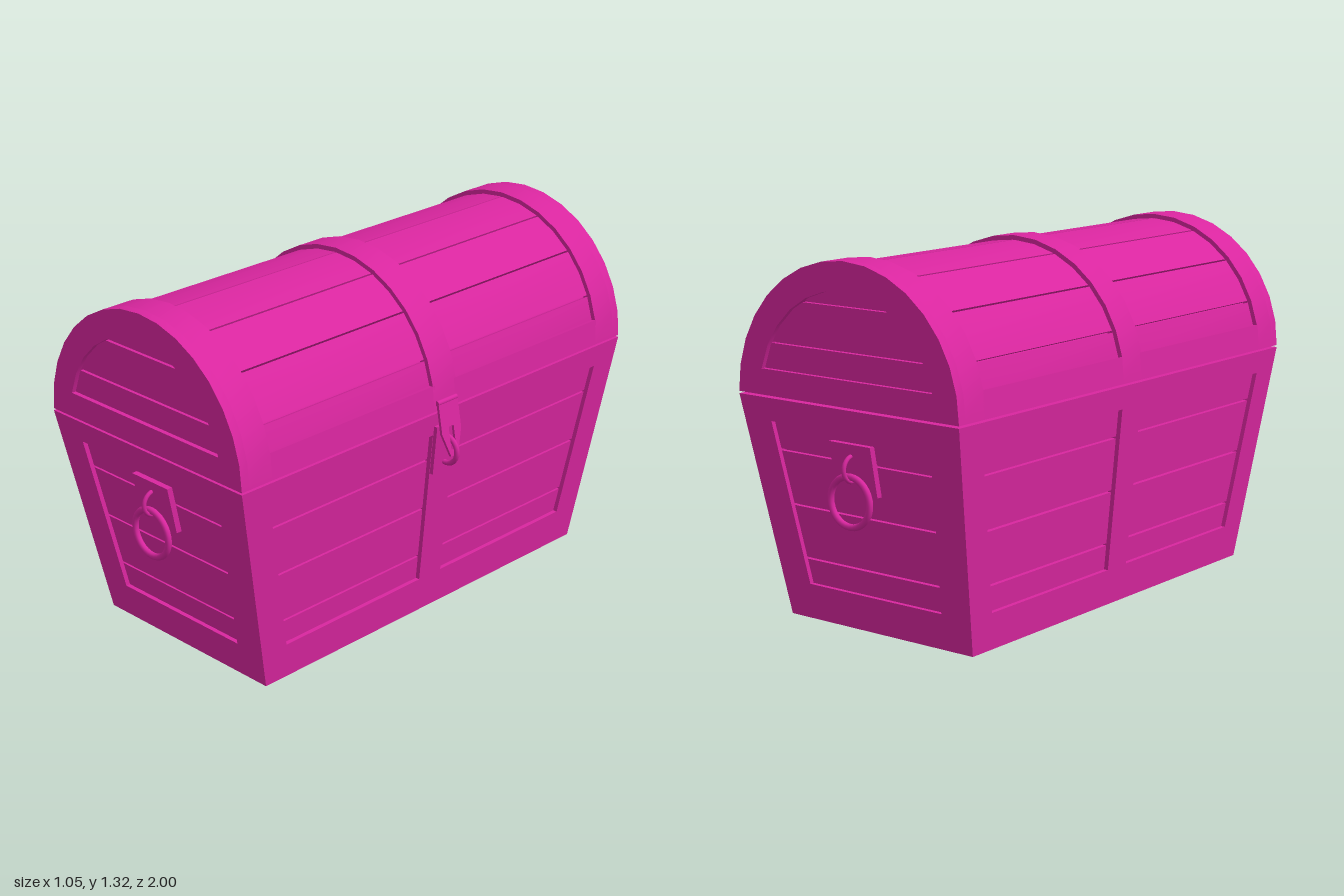
import * as THREE from 'three';
import { toCreasedNormals } from 'three/addons/utils/BufferGeometryUtils.js';

const material = new THREE.MeshStandardMaterial({ color: 0xd9269f });
const H = 0.82, LID_Y = 0.828, R = 0.493, T = 0.035, PLANK = 0.018, GAP = 0.004;
const halfX = y => 0.415 + 0.078 * y / H;
const halfZ = y => 0.82 + 0.162 * y / H;

function add(parent, name, geometry, x = 0, y = 0, z = 0) {
  const mesh = new THREE.Mesh(geometry, material);
  mesh.name = name;
  mesh.position.set(x, y, z);
  parent.add(mesh);
  return mesh;
}

const polygon = pts => new THREE.Shape(pts.map(p => new THREE.Vector2(...p)));

const extrude = (shape, depth, z = 0) =>
  new THREE.ExtrudeGeometry(shape, { depth, bevelEnabled: false, curveSegments: 12 }).translate(0, 0, z);

// Extrude a flat shape and lean it onto a sloping wall.
function leaned(shape, depth, dist, offset) {
  const g = extrude(shape, depth), p = g.attributes.position;
  for (let i = 0; i < p.count; i++) p.setZ(i, p.getZ(i) + dist(p.getY(i)) + offset);
  g.computeVertexNormals();
  return g;
}

// Trapezoid between two heights, following a width rule on each edge.
const trapezoid = (left, right, y0, y1) =>
  polygon([[left(y0), y0], [right(y0), y0], [right(y1), y1], [left(y1), y1]]);

// One framed wall facing +z; split adds a centre strap.
function wall(name, half, dist, inset, split) {
  const group = new THREE.Group();
  group.name = name;
  const frame = trapezoid(y => -half(y), half, 0, H);
  const inner = y => half(y) - inset;
  if (split) {
    frame.holes.push(trapezoid(y => -inner(y), () => -split, 0.135, 0.735));
    frame.holes.push(trapezoid(() => split, inner, 0.135, 0.735));
  } else {
    frame.holes.push(trapezoid(y => -inner(y), inner, 0.135, 0.735));
  }
  add(group, 'wallFrame', leaned(frame, T, dist, -T));
  const seams = [0.1, 0.23, 0.43, 0.63, 0.77];
  for (let i = 0; i < 4; i++) {
    const w = y => inner(y) + 0.03;
    const plank = trapezoid(y => -w(y), w, seams[i] + GAP, seams[i + 1] - GAP);
    add(group, 'wallPlank', leaned(plank, PLANK, dist, -T));
  }
  return group;
}

// Plate, staple and hanging ring for an end wall.
function addHandle(end) {
  const plate = polygon([[-0.093, 0.52], [0.093, 0.52], [0.093, 0.7], [-0.093, 0.7]]);
  add(end, 'handlePlate', leaned(plate, 0.028, halfZ, -T + 0.012));
  const staple = add(end, 'handleStaple', new THREE.TorusGeometry(0.045, 0.008, 8, 24), 0, 0.613, 0.947);
  staple.rotation.y = Math.PI / 2;
  add(end, 'handleRing', new THREE.TorusGeometry(0.088, 0.012, 10, 32), 0, 0.5, 0.962);
}

// Hinged hasp over a staple on the front strap.
function addLatch(side) {
  const plate = polygon([[-0.055, 0.58], [0.055, 0.58], [0.055, 0.77], [-0.055, 0.77]]);
  add(side, 'latchPlate', leaned(plate, 0.025, halfX, -0.01));
  const staple = add(side, 'latchStaple', new THREE.TorusGeometry(0.053, 0.01, 8, 24), 0, 0.668, 0.497);
  staple.rotation.y = Math.PI / 2;
  const shape = polygon([[-0.05, 0], [-0.05, -0.12], [-0.018, -0.21], [0.018, -0.21], [0.05, -0.12], [0.05, 0]]);
  shape.holes.push(polygon([[-0.013, -0.19], [0.013, -0.19], [0.013, -0.1], [-0.013, -0.1]]));
  add(side, 'latchHasp', extrude(shape, 0.01), 0, 0.862, 0.492).rotation.x = -0.18;
  const pin = add(side, 'haspHinge', new THREE.CylinderGeometry(0.01, 0.01, 0.1, 10), 0, 0.858, 0.495);
  pin.rotation.z = Math.PI / 2;
}

// Arch sector; angles count in steps of a 16-sided half circle.
function sector(r0, r1, from, to, z0, z1, trim = 0) {
  const pts = [], inside = [];
  for (let i = from; i <= to; i++) {
    let a = i * Math.PI / 16;
    if (i === from) a += trim;
    if (i === to) a -= trim;
    pts.push([r1 * Math.cos(a), r1 * Math.sin(a)]);
    inside.unshift([r0 * Math.cos(a), r0 * Math.sin(a)]);
  }
  const shape = polygon(r0 > 0 ? pts.concat(inside) : pts);
  return toCreasedNormals(extrude(shape, z1 - z0, z0), 0.4);
}

// Slice of a half disc between two heights.
function discSlice(r, y0, y1) {
  const pts = [], a0 = Math.asin(y0 / r), a1 = Math.asin(Math.min(1, y1 / r));
  for (let i = 0; i <= 6; i++) {
    const a = a0 + (a1 - a0) * i / 6;
    pts.push([r * Math.cos(a), r * Math.sin(a)]);
  }
  const mirrored = pts.map(([x, y]) => [-x, y]).reverse();
  if (y1 >= r) mirrored.shift();
  return polygon(pts.concat(mirrored));
}

function makeLid() {
  const lid = new THREE.Group();
  lid.name = 'lid';
  lid.position.y = LID_Y;
  add(lid, 'lidCore', sector(0, 0.455, 0, 16, -0.9, 0.9));
  add(lid, 'centreBand', sector(0.43, R, 0, 16, -0.06, 0.06));

  for (const [z0, z1] of [[-0.85, -0.05], [0.05, 0.85]]) {
    // Curved planks and the straight rails below them
    for (let i = 0; i < 16; i += 2) {
      add(lid, 'lidPlank', sector(0.44, 0.476, i, i + 2, z0, z1, 0.007));
    }
    add(lid, 'lidRail', sector(0.43, R, 0, 1, z0, z1));
    add(lid, 'lidRail', sector(0.43, R, 15, 16, z0, z1));
  }

  for (const turn of [0, Math.PI]) {
    const end = new THREE.Group();
    end.name = 'lidEnd';
    end.rotation.y = turn;
    lid.add(end);
    add(end, 'endBand', sector(0, R, 0, 16, 0.845, 0.947));
    // Arched frame around the recessed end planks
    const arch = [];
    for (let i = 0; i <= 16; i++) {
      const a = i * Math.PI / 16;
      arch.push([R * Math.cos(a), R * Math.sin(a)]);
    }
    const frame = polygon(arch);
    frame.holes.push(discSlice(0.393, 0.092, 0.393));
    add(end, 'endFrame', toCreasedNormals(extrude(frame, T, 0.947), 0.4));
    const seams = [0.06, 0.186, 0.34, 0.42];
    for (let i = 0; i < 3; i++) {
      add(end, 'endPlank', extrude(discSlice(0.42, seams[i] + GAP, seams[i + 1] - GAP), PLANK, 0.947));
    }
  }
  return lid;
}

export function createModel() {
  const model = new THREE.Group();
  model.name = 'chest';
  model.position.x = -0.035;

  // Tapered inner body
  const core = new THREE.BoxGeometry(2, H - 0.02, 2).translate(0, (H + 0.02) / 2, 0);
  const p = core.attributes.position;
  for (let i = 0; i < p.count; i++) {
    const y = p.getY(i);
    p.setXYZ(i, p.getX(i) * (halfX(y) - T), y, p.getZ(i) * (halfZ(y) - T));
  }
  core.computeVertexNormals();
  add(model, 'bodyCore', core);

  // Framed walls: ends face z, sides face x
  for (const s of [0, 1]) {
    const end = wall('endWall', halfX, halfZ, 0.127);
    end.rotation.y = s * Math.PI;
    addHandle(end);
    const side = wall('sideWall', halfZ, halfX, 0.115, 0.057);
    side.rotation.y = Math.PI / 2 + s * Math.PI;
    if (s === 0) addLatch(side);
    model.add(end, side);
  }

  // Bottom frame with two recessed panels
  const rect = (x, z0, z1) => polygon([[-x, z0], [x, z0], [x, z1], [-x, z1]]);
  const base = rect(halfX(0), -halfZ(0), halfZ(0));
  base.holes.push(rect(0.31, 0.06, 0.72), rect(0.31, -0.72, -0.06));
  add(model, 'bottomFrame', extrude(base, 0.02).rotateX(-Math.PI / 2));

  model.add(makeLid());
  const root = new THREE.Group();
  root.name = 'treasureChest';
  root.add(model);
  return root;
}
